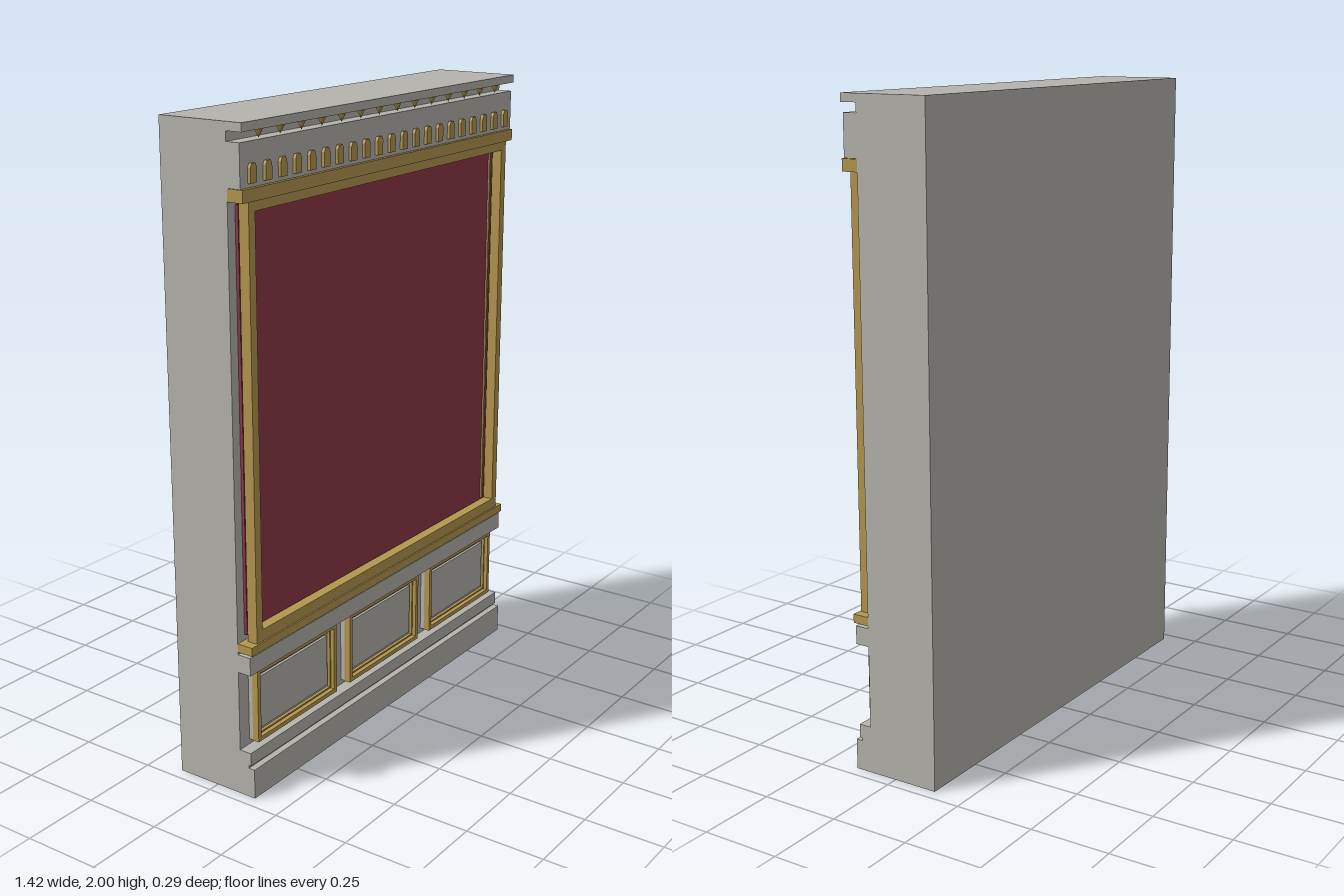
import * as THREE from 'three';

export function createModel() {
  const model = new THREE.Group();
  const mat = (name, color) => {
    const m = new THREE.MeshStandardMaterial({ color });
    m.name = name;
    return m;
  };
  const stone = mat('pale stone', 0xb5b3ad);
  const gold = mat('gold trim', 0xb3964f);
  const red = mat('crimson panel', 0x8c3847);

  const add = (geometry, name, material, parent = model) => {
    const mesh = new THREE.Mesh(geometry, material);
    mesh.name = name;
    parent.add(mesh);
    return mesh;
  };
  // Box given by its limits
  const box = (name, material, x0, x1, y0, y1, z0, z1) => {
    const m = add(new THREE.BoxGeometry(x1 - x0, y1 - y0, z1 - z0), name, material);
    m.position.set((x0 + x1) / 2, (y0 + y1) / 2, (z0 + z1) / 2);
    return m;
  };
  // Rectangular border with a hole, extruded forward
  const border = (name, material, x0, x1, y0, y1, t, z0, z1) => {
    const s = new THREE.Shape([[x0, y0], [x1, y0], [x1, y1], [x0, y1]].map(p => new THREE.Vector2(...p)));
    s.holes.push(new THREE.Path([[x0 + t, y0 + t], [x0 + t, y1 - t], [x1 - t, y1 - t], [x1 - t, y0 + t]]
      .map(p => new THREE.Vector2(...p))));
    const m = add(new THREE.ExtrudeGeometry(s, { depth: z1 - z0, bevelEnabled: false }), name, material);
    m.position.z = z0;
    return m;
  };

  const W = 0.712, WALL = 0.09, FRONT = 0.143;

  // Wall slab and horizontal courses
  box('wall', stone, -W, W, 0, 2, -0.143, WALL);
  box('plinth', stone, -W, W, 0, 0.095, WALL, FRONT);
  box('plinthStep', stone, -W, W, 0.104, 0.146, WALL, 0.13);
  box('plinthJoint', stone, -W, W, 0.095, 0.104, WALL, 0.122);
  box('chairRail', stone, -W, W, 0.4, 0.457, WALL, 0.135);
  box('frieze', stone, -W, W, 1.823, 1.947, WALL, 0.135);
  box('cornice', stone, -W, W, 1.975, 2, WALL, FRONT);

  // Large framed panel
  box('largePanel', red, -0.68, 0.68, 0.51, 1.775, WALL, 0.1);
  border('panelFrame', gold, -0.682, 0.682, 0.497, 1.786, 0.028, 0.104, 0.138);
  for (const s of [-1, 1]) {
    const x = s * 0.639;
    box('innerFillet', gold, x - 0.004, x + 0.004, 0.53, 1.757, 0.1, 0.106);
  }
  box('sill', gold, -W, W, 0.465, 0.492, WALL, FRONT);
  box('sillLip', gold, -0.682, 0.682, 0.492, 0.528, 0.104, 0.138);
  box('lintel', gold, -W, W, 1.786, 1.822, WALL, FRONT);

  // Dentils with clipped top corners
  const dentil = new THREE.ExtrudeGeometry(new THREE.Shape([
    [-0.014, 0], [0.014, 0], [0.014, 0.043], [0.008, 0.054], [-0.008, 0.054], [-0.014, 0.043],
  ].map(p => new THREE.Vector2(...p))), { depth: 0.01, bevelEnabled: false });
  for (let i = 0; i < 21; i++) {
    add(dentil, 'dentil', gold).position.set((i - 10) * 0.0665, 1.835, 0.1345);
  }

  // Pointed drops under the cornice
  const drop = new THREE.ConeGeometry(0.014, 0.026, 6);
  drop.rotateX(Math.PI);
  for (let i = 0; i < 14; i++) {
    add(drop, 'drop', gold).position.set((i - 6.5) * 0.0953, 1.962, 0.127);
  }

  // Three wainscot panels
  for (const x of [-0.469, 0, 0.469]) {
    border('wainscotBacking', stone, x - 0.198, x + 0.198, 0.163, 0.397, 0.032, WALL, 0.105);
    border('wainscotTrim', gold, x - 0.199, x + 0.199, 0.162, 0.398, 0.014, 0.105, 0.126);
    border('wainscotBead', gold, x - 0.182, x + 0.182, 0.179, 0.381, 0.005, 0.105, 0.115);
    box('wainscotField', stone, x - 0.17, x + 0.17, 0.193, 0.362, WALL, 0.11);
  }
  return model;
}
